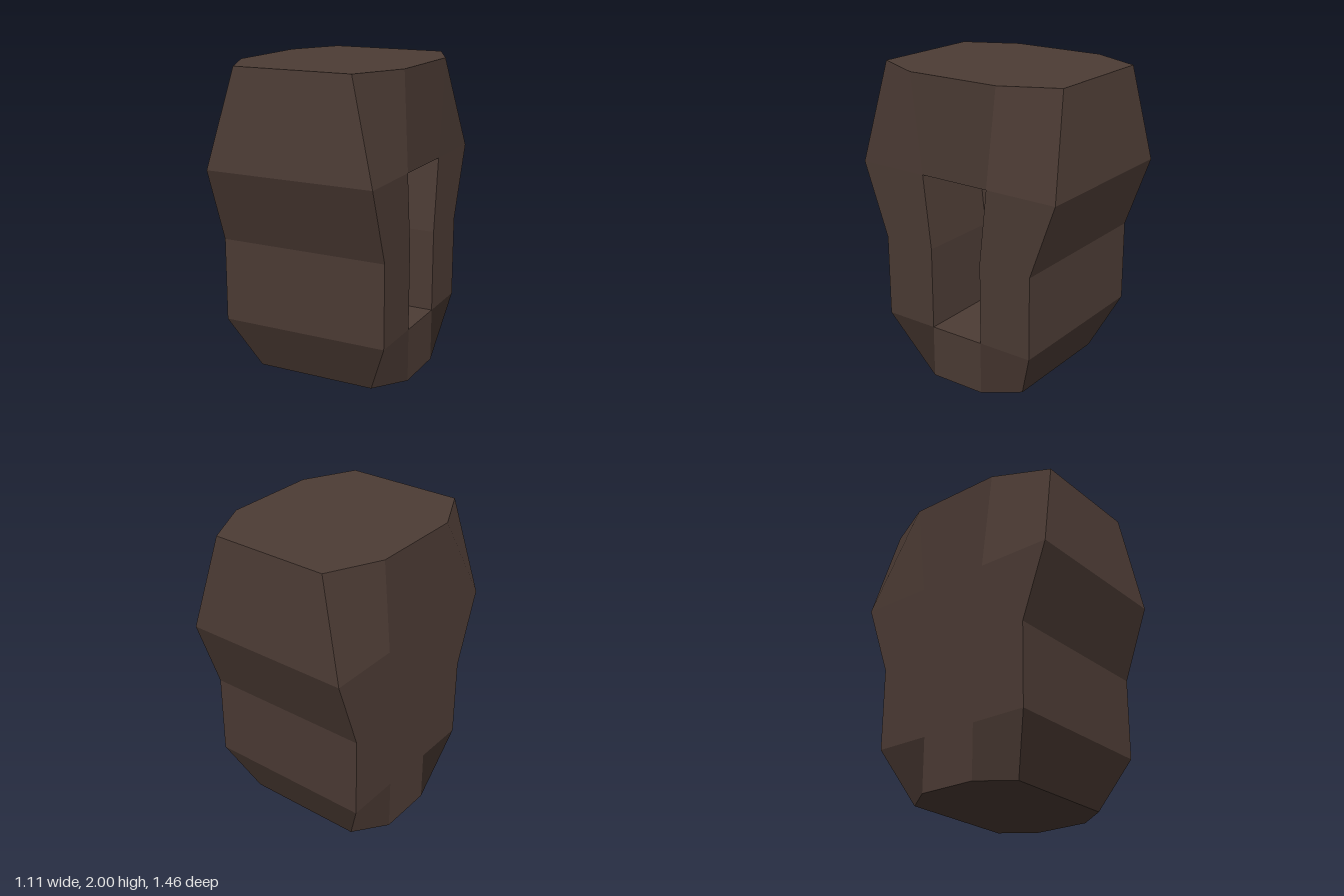
import * as THREE from 'three';

// Builds a geometry from polygons, each with one flat normal of its own
function facesGeometry(faces) {
  const pos = [], nor = [];
  for (const f of faces) {
    const n = new THREE.Vector3();
    f.forEach((p, i) => n.add(p.clone().cross(f[(i + 1) % f.length])));
    n.normalize();
    let pts = f;
    if (f.length === 4) {
      // split bent quads along the outward diagonal
      const [a, b, c, d] = f;
      const m = b.clone().sub(a).cross(c.clone().sub(a));
      if (m.dot(d.clone().sub(a)) > 1e-6) pts = [b, c, d, a];
    }
    for (let i = 1; i < pts.length - 1; i++) {
      for (const p of [pts[0], pts[i], pts[i + 1]]) {
        pos.push(p.x, p.y, p.z);
        nor.push(n.x, n.y, n.z);
      }
    }
  }
  const g = new THREE.BufferGeometry();
  g.setAttribute('position', new THREE.Float32BufferAttribute(pos, 3));
  g.setAttribute('normal', new THREE.Float32BufferAttribute(nor, 3));
  return g;
}

export function createModel() {
  const group = new THREE.Group();
  const brown = new THREE.MeshStandardMaterial({ color: 0x4d3c35 });
  brown.name = 'darkBrown';

  // Eight-point cross-sections: height, corner x, corner z, side z
  const W = 0.557;
  const levels = [
    [0, 0.4, 0.4, 0.19],
    [0.35, W, 0.557, 0.19],
    [0.89, W, 0.557, 0.19],
    [1.37, W, 0.728, 0.243],
    [2, 0.39, 0.66, 0.317],
  ];
  const rings = levels.map(([y, cx, cz, s]) =>
    [[cx, cz], [W, s], [W, -s], [cx, -cz], [-cx, -cz], [-W, -s], [-W, s], [-cx, cz]]
      .map(([x, z]) => new THREE.Vector3(x, y, z)));

  // Outer shell, leaving the socket opening on the +x side
  const shell = [[...rings[0]].reverse(), rings[4]];
  for (let j = 0; j < 4; j++) {
    for (let i = 0; i < 8; i++) {
      if (i === 1 && (j === 1 || j === 2)) continue;
      const k = (i + 1) % 8;
      shell.push([rings[j][i], rings[j][k], rings[j + 1][k], rings[j + 1][i]]);
    }
  }

  // Socket recessed into the +x side
  const F = rings.map((r) => r[1]), B = rings.map((r) => r[2]);
  const inward = (p) => new THREE.Vector3(0, p.y, p.z);
  const f = F.map(inward), b = B.map(inward);
  const socket = [
    [f[1], F[1], B[1], b[1]],
    [b[3], B[3], F[3], f[3]],
  ];
  for (const j of [1, 2]) {
    socket.push([b[j], B[j], B[j + 1], b[j + 1]]);
    socket.push([F[j], f[j], f[j + 1], F[j + 1]]);
    socket.push([f[j], b[j], b[j + 1], f[j + 1]]);
  }

  for (const [name, faces] of [['body', shell], ['socket', socket]]) {
    const mesh = new THREE.Mesh(facesGeometry(faces), brown);
    mesh.name = name;
    group.add(mesh);
  }
  return group;
}
